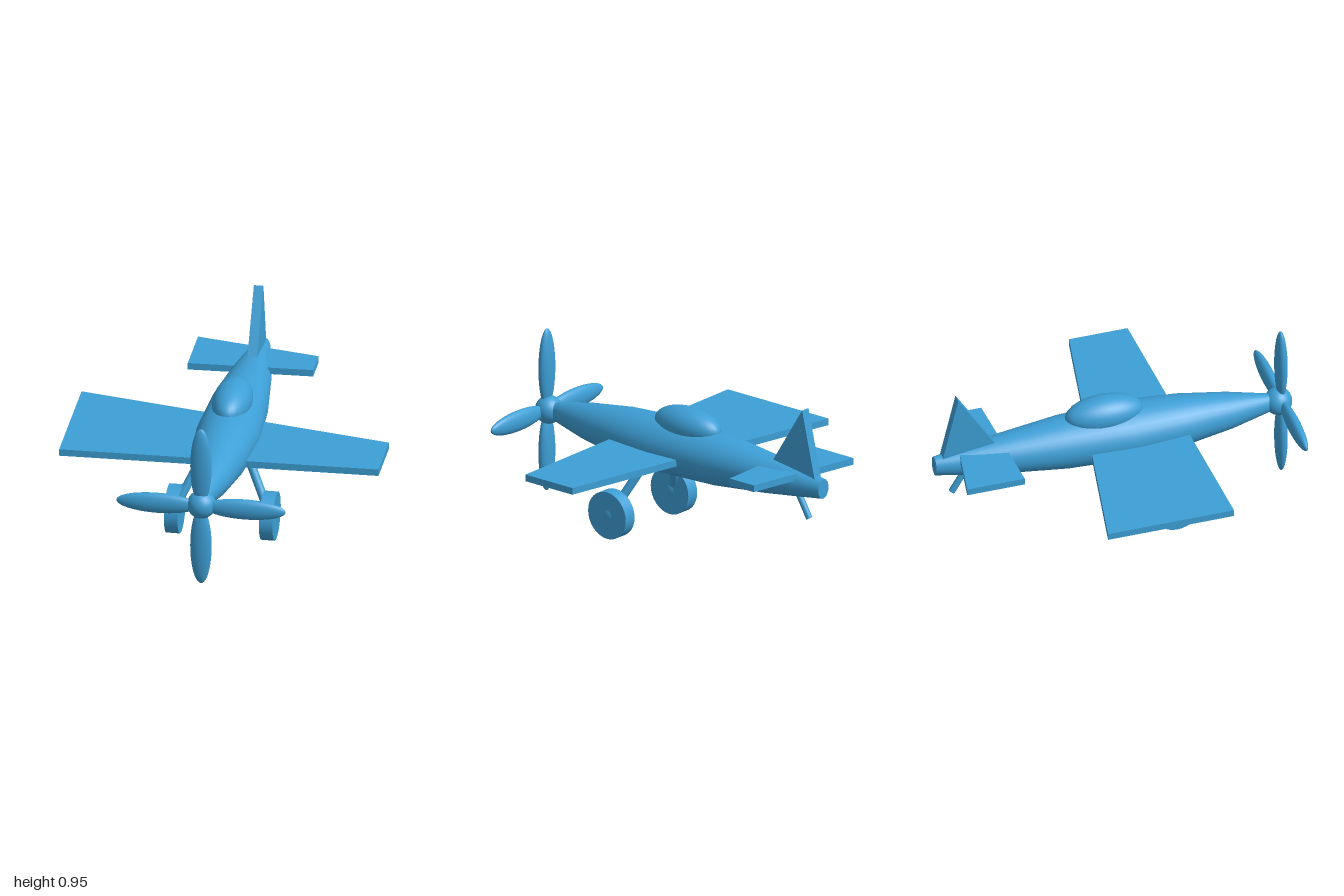
import * as THREE from 'three';

const blue = new THREE.MeshStandardMaterial({ color: 0x3d9fd6 });
blue.name = 'blue';

function add(parent, name, geometry) {
  const mesh = new THREE.Mesh(geometry, blue);
  mesh.name = name;
  parent.add(mesh);
  return mesh;
}

function ellipsoid(rx, ry, rz, x, y, z) {
  return new THREE.SphereGeometry(1, 32, 20).scale(rx, ry, rz).translate(x, y, z);
}

// Straight-sided plate cut from a 2D outline
function plate(points, depth) {
  const shape = new THREE.Shape(points.map(([a, b]) => new THREE.Vector2(a, b)));
  return new THREE.ExtrudeGeometry(shape, { depth, bevelEnabled: false });
}

// Horizontal plate: outline in x, z with its top at the given height
function slab(points, top, depth) {
  return plate(points, depth).rotateX(Math.PI / 2).translate(0, top, 0);
}

// Round rod between two points
function rod(from, to, radius) {
  const a = new THREE.Vector3(...from), b = new THREE.Vector3(...to);
  const dir = b.clone().sub(a);
  const g = new THREE.CylinderGeometry(radius, radius, dir.length(), 20);
  g.applyQuaternion(new THREE.Quaternion().setFromUnitVectors(new THREE.Vector3(0, 1, 0), dir.normalize()));
  const mid = a.add(b).multiplyScalar(0.5);
  return g.translate(mid.x, mid.y, mid.z);
}

// Oval body: a cylinder whose rings follow [z, half width, half height]
function bodyGeometry() {
  const rings = [
    [0.87, 0.04, 0.055], [0.65, 0.1, 0.1], [0.38, 0.148, 0.137], [0.1, 0.173, 0.153],
    [-0.28, 0.155, 0.142], [-0.62, 0.113, 0.107], [-0.83, 0.078, 0.079], [-1, 0.042, 0.055],
  ];
  const n = rings.length - 1;
  const g = new THREE.CylinderGeometry(1, 1, 1, 32, n).rotateX(Math.PI / 2);
  const p = g.attributes.position;
  for (let i = 0; i < p.count; i++) {
    const [z, rx, ry] = rings[Math.round((0.5 - p.getZ(i)) * n)];
    p.setXYZ(i, p.getX(i) * rx, 0.5 + p.getY(i) * ry, z);
  }
  g.computeVertexNormals();
  return g;
}

export function createModel() {
  const plane = new THREE.Group();
  plane.name = 'airplane';

  add(plane, 'fuselage', bodyGeometry());
  add(plane, 'canopy', ellipsoid(0.105, 0.1, 0.217, 0, 0.641, -0.05));

  // Wing and tailplane, each one slab tapering from right to left
  add(plane, 'wing', slab([[-0.86, -0.3], [0.86, -0.025], [0.86, 0.355], [-0.86, 0.405]]
    .map(([x, z]) => [x, x > 0 && z < 0 ? 0.027 : z]), 0.5, 0.038));
  add(plane, 'tailplane', slab([[-0.337, -0.922], [0.337, -0.8], [0.337, -0.63], [-0.337, -0.6]], 0.565, 0.038));

  // Upright triangular fin
  add(plane, 'fin', plate([[-0.61, 0.5], [-0.972, 0.5], [-0.873, 0.922]], 0.052)
    .rotateY(-Math.PI / 2).translate(0.026, 0, 0));

  // Propeller with four blades
  const propeller = new THREE.Group();
  propeller.name = 'propeller';
  propeller.position.set(0, 0.497, 0.94);
  plane.add(propeller);
  for (let i = 0; i < 4; i++) {
    add(propeller, 'blade', ellipsoid(0.058, 0.222, 0.033, 0, 0.236, 0)).rotation.z = i * Math.PI / 2;
  }
  add(plane, 'spinner', ellipsoid(0.077, 0.077, 0.075, 0, 0.5, 0.925));

  // Main landing gear
  for (const side of [-1, 1]) {
    const gear = new THREE.Group();
    gear.name = side > 0 ? 'leftGear' : 'rightGear';
    plane.add(gear);
    add(gear, 'strut', rod([side * 0.1, 0.45, 0.13], [side * 0.25, 0.15, 0.262], 0.024));
    add(gear, 'wheel', new THREE.CylinderGeometry(0.132, 0.132, 0.073, 32)
      .rotateZ(Math.PI / 2).translate(side * 0.257, 0.132, 0.268));
    add(gear, 'hub', ellipsoid(0.042, 0.06, 0.06, side * 0.257, 0.132, 0.268).scale(1, 1, 1));
  }

  // Tail skid
  add(plane, 'tailSkid', rod([0, 0.48, -0.8], [0, 0.31, -0.902], 0.018));

  return plane;
}
